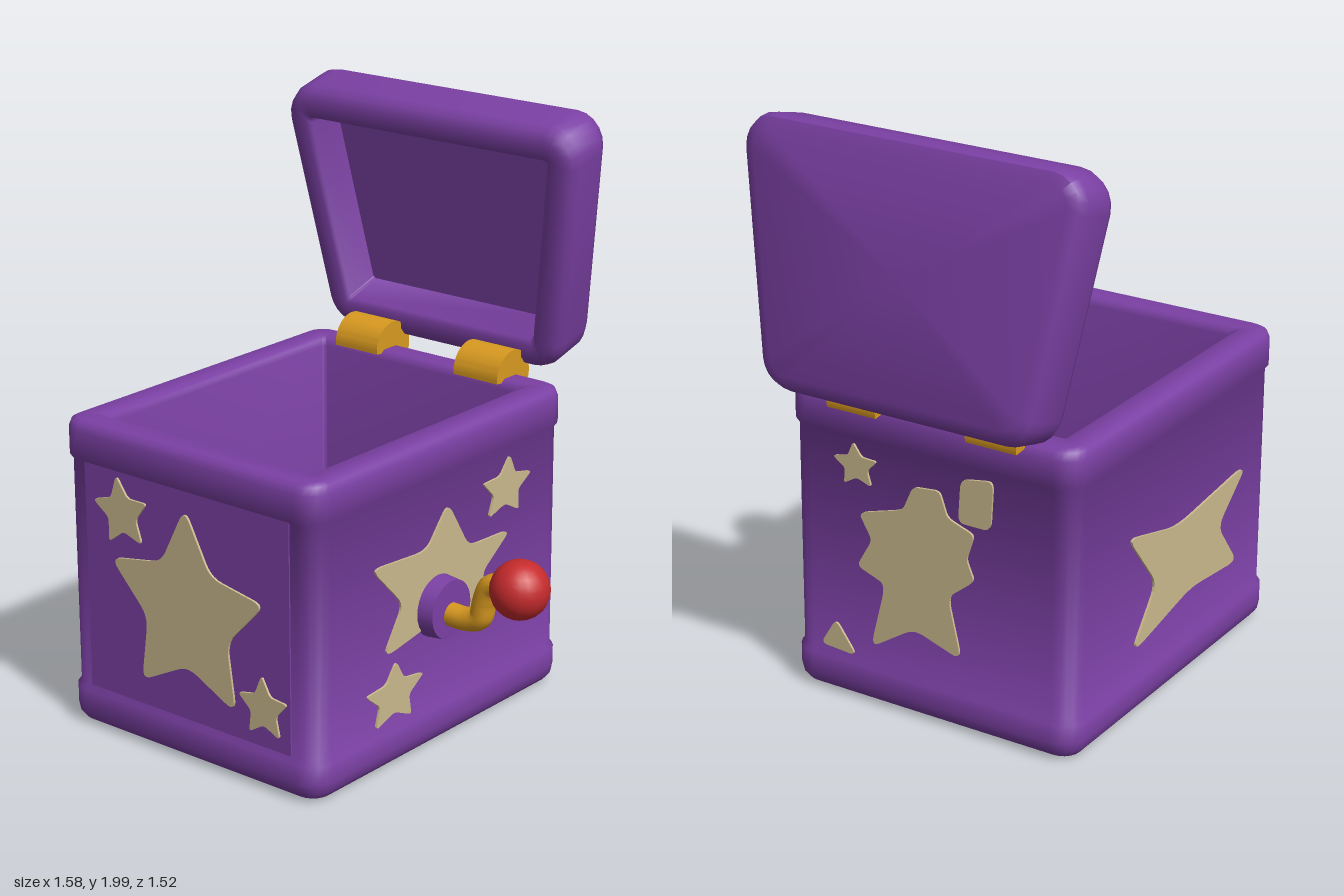
import * as THREE from 'three';
import { toCreasedNormals } from 'three/addons/utils/BufferGeometryUtils.js';

const mat = (name, color) => {
  const m = new THREE.MeshStandardMaterial({ color });
  m.name = name;
  return m;
};

// Inset a convex counter-clockwise polygon and round its corners
function roundedRing(corners, inset, radius, steps = 5) {
  const rad = Math.max(radius - inset, 0.015);
  const n = corners.length, ring = [];
  const inward = (a, b) => {
    const l = Math.hypot(b[0] - a[0], b[1] - a[1]);
    return [-(b[1] - a[1]) / l, (b[0] - a[0]) / l];
  };
  corners.forEach((c, i) => {
    const n1 = inward(corners[(i + n - 1) % n], c);
    const n2 = inward(c, corners[(i + 1) % n]);
    const dot = n1[0] * n2[0] + n1[1] * n2[1];
    const k = (inset + rad) / (1 + dot);
    const cx = c[0] + k * (n1[0] + n2[0]), cy = c[1] + k * (n1[1] + n2[1]);
    const start = Math.atan2(-n1[1], -n1[0]), sweep = Math.acos(dot);
    for (let s = 0; s <= steps; s++) {
      const a = start + (sweep * s) / steps;
      ring.push([cx + rad * Math.cos(a), cy + rad * Math.sin(a)]);
    }
  });
  return ring;
}

// Closed tray: profile of [inset, height] runs from the underside, over the lip, to the inner floor
function trayGeometry(corners, radius, profile) {
  const rings = profile.map(([inset, w]) =>
    roundedRing(corners, inset, radius).map(([u, v]) => [u, v, w]));
  const centre = (ring) => [0, 1, 2].map((k) => ring.reduce((s, p) => s + p[k], 0) / ring.length);
  const pos = [], tri = (...p) => p.forEach((q) => pos.push(...q));
  const n = rings[0].length, last = rings[rings.length - 1];
  const c0 = centre(rings[0]), c1 = centre(last);
  for (let j = 0; j < n; j++) {
    const k = (j + 1) % n;
    tri(c0, rings[0][k], rings[0][j]);
    for (let i = 0; i + 1 < rings.length; i++) {
      tri(rings[i][j], rings[i][k], rings[i + 1][k]);
      tri(rings[i][j], rings[i + 1][k], rings[i + 1][j]);
    }
    tri(c1, last[j], last[k]);
  }
  const g = new THREE.BufferGeometry();
  g.setAttribute('position', new THREE.Float32BufferAttribute(pos, 3));
  return g;
}

// Thin plate with softened corners
function plateGeometry(points, soft = 0.2) {
  const pts = points.map((p) => new THREE.Vector2(...p));
  if (THREE.ShapeUtils.area(pts) < 0) pts.reverse();
  const shape = new THREE.Shape(), n = pts.length;
  pts.forEach((p, i) => {
    const a = p.clone().lerp(pts[(i + n - 1) % n], soft);
    const b = p.clone().lerp(pts[(i + 1) % n], soft);
    if (i) shape.lineTo(a.x, a.y); else shape.moveTo(a.x, a.y);
    shape.quadraticCurveTo(p.x, p.y, b.x, b.y);
  });
  shape.closePath();
  return new THREE.ExtrudeGeometry(shape, { depth: 0.009, bevelEnabled: false, curveSegments: 5 });
}

function starPoints(cx, cy, rx, ry, turn = 0, inner = 0.5) {
  return Array.from({ length: 10 }, (_, i) => {
    const a = Math.PI / 2 + turn + (i * Math.PI) / 5, r = i % 2 ? inner : 1;
    return [cx + rx * r * Math.cos(a), cy + ry * r * Math.sin(a)];
  });
}

export function createModel() {
  const model = new THREE.Group();
  model.name = 'toyBox';
  const purple = mat('purple', 0x7b40a4);
  const cream = mat('cream', 0xcbba8e);
  const gold = mat('gold', 0xd99a20);
  const red = mat('red', 0xc62b2d);
  const add = (name, geometry, material, parent = model) => {
    const mesh = new THREE.Mesh(geometry, material);
    mesh.name = name;
    parent.add(mesh);
    return mesh;
  };

  // Open box with base band and rim
  const box = trayGeometry(
    [[-0.72, -0.76], [0.37, -0.76], [0.37, 0.555], [-0.72, 0.555]], 0.085,
    [[0.06, 0], [0.025, 0.012], [0.006, 0.035], [0, 0.065], [0, 0.13], [0.012, 0.145],
      [0.012, 0.93], [0, 0.945], [0, 1.035], [0.01, 1.06], [0.03, 1.07], [0.095, 1.07],
      [0.108, 1.06], [0.115, 1.04], [0.115, 0.1]]);
  box.rotateX(-Math.PI / 2);
  add('box', toCreasedNormals(box, 0.85), purple);
  add('frontPanel', new THREE.BoxGeometry(0.87, 0.79, 0.012).translate(-0.175, 0.545, 0.747), purple);

  // Open lid: a tapered tray, leaning over the back edge
  const lid = trayGeometry(
    [[-0.49, 0], [0.49, 0], [0.63, 0.86], [-0.63, 0.86]], 0.11,
    [[0.05, 0], [0.015, 0.013], [0, 0.045], [0, 0.16], [0.012, 0.19], [0.04, 0.205],
      [0.09, 0.205], [0.105, 0.195], [0.125, 0.08]]);
  lid.applyMatrix4(new THREE.Matrix4().set(
    1, 0, 0, -0.18,
    0, 1, -0.27, 1.14,
    0, 0.13, 1, -0.765,
    0, 0, 0, 1));
  add('lid', toCreasedNormals(lid, 0.85), purple);

  // Half-round hinges
  for (const x of [-0.44, 0.08]) {
    const half = new THREE.Shape().absarc(0, 0, 0.09, -0.3, Math.PI + 0.1, false);
    const g = new THREE.ExtrudeGeometry(half, { depth: 0.185, bevelEnabled: false, curveSegments: 16 });
    g.translate(0, 0, -0.0925).rotateY(Math.PI / 2);
    add('hinge', toCreasedNormals(g, 0.6), gold).position.set(x, 1.07, -0.51);
  }

  // Star plates; each side lists outlines in its own flat coordinates
  const sides = [
    { name: 'frontStar', turn: 0, at: [0, 0, 0.752], shapes: [
      starPoints(-0.168, 0.525, 0.345, 0.355, 0, 0.52),
      starPoints(-0.445, 0.8, 0.125, 0.125, 0.15),
      starPoints(0.152, 0.285, 0.108, 0.112, 0.05)] },
    { name: 'rightStar', turn: Math.PI / 2, at: [0.357, 0, 0], shapes: [
      [[-0.09, 0.83], [0.02, 0.65], [0.245, 0.64], [0.09, 0.53], [0.175, 0.38],
        [-0.12, 0.45], [-0.42, 0.4], [-0.32, 0.555], [-0.48, 0.72], [-0.2, 0.7]],
      starPoints(0.222, 0.795, 0.14, 0.11, -0.12),
      starPoints(-0.363, 0.253, 0.155, 0.115, -0.05)] },
    { name: 'leftStar', turn: -Math.PI / 2, at: [-0.707, 0, 0], shapes: [
      [[-0.22, 0.66], [0.1, 0.58], [0.57, 0.63], [0.38, 0.47], [0.52, 0.29],
        [0.2, 0.32], [-0.18, 0.24], [-0.03, 0.43]]] },
    { name: 'backStar', turn: Math.PI, at: [0, 0, -0.542], shapes: [
      [[-0.09, 0.68], [0.08, 0.73], [0.12, 0.82], [0.22, 0.83], [0.25, 0.745],
        [0.35, 0.71], [0.32, 0.62], [0.35, 0.55], [0.25, 0.47], [0.3, 0.26],
        [0.12, 0.32], [-0.05, 0.21], [0.01, 0.45], [-0.1, 0.49], [-0.04, 0.595]],
      [[0.3, 0.89], [0.42, 0.91], [0.41, 0.74], [0.29, 0.74]],
      starPoints(-0.1, 0.84, 0.09, 0.08, 0.1),
      [[-0.19, 0.27], [-0.11, 0.16], [-0.25, 0.17]]] },
  ];
  for (const { name, turn, at, shapes } of sides) {
    for (const outline of shapes) {
      const star = add(name, plateGeometry(outline), cream);
      star.rotation.y = turn;
      star.position.set(...at);
    }
  }

  // Crank on the side: mounting disc, bent arm and ball knob
  const crank = new THREE.Group();
  crank.name = 'crank';
  crank.position.z = 0.145;
  model.add(crank);
  const disc = new THREE.CylinderGeometry(0.1, 0.107, 0.07, 28).rotateZ(-Math.PI / 2);
  add('crankDisc', disc, purple, crank).position.set(0.388, 0.495, 0);
  const path = new THREE.CatmullRomCurve3([
    [0.39, 0.48], [0.49, 0.48], [0.54, 0.5], [0.555, 0.56], [0.58, 0.615], [0.66, 0.635],
  ].map(([x, y]) => new THREE.Vector3(x, y, 0)));
  add('crankArm', new THREE.TubeGeometry(path, 28, 0.04, 14), gold, crank);
  add('crankKnob', new THREE.SphereGeometry(0.098, 20, 14), red, crank).position.set(0.69, 0.632, -0.005);

  return model;
}
